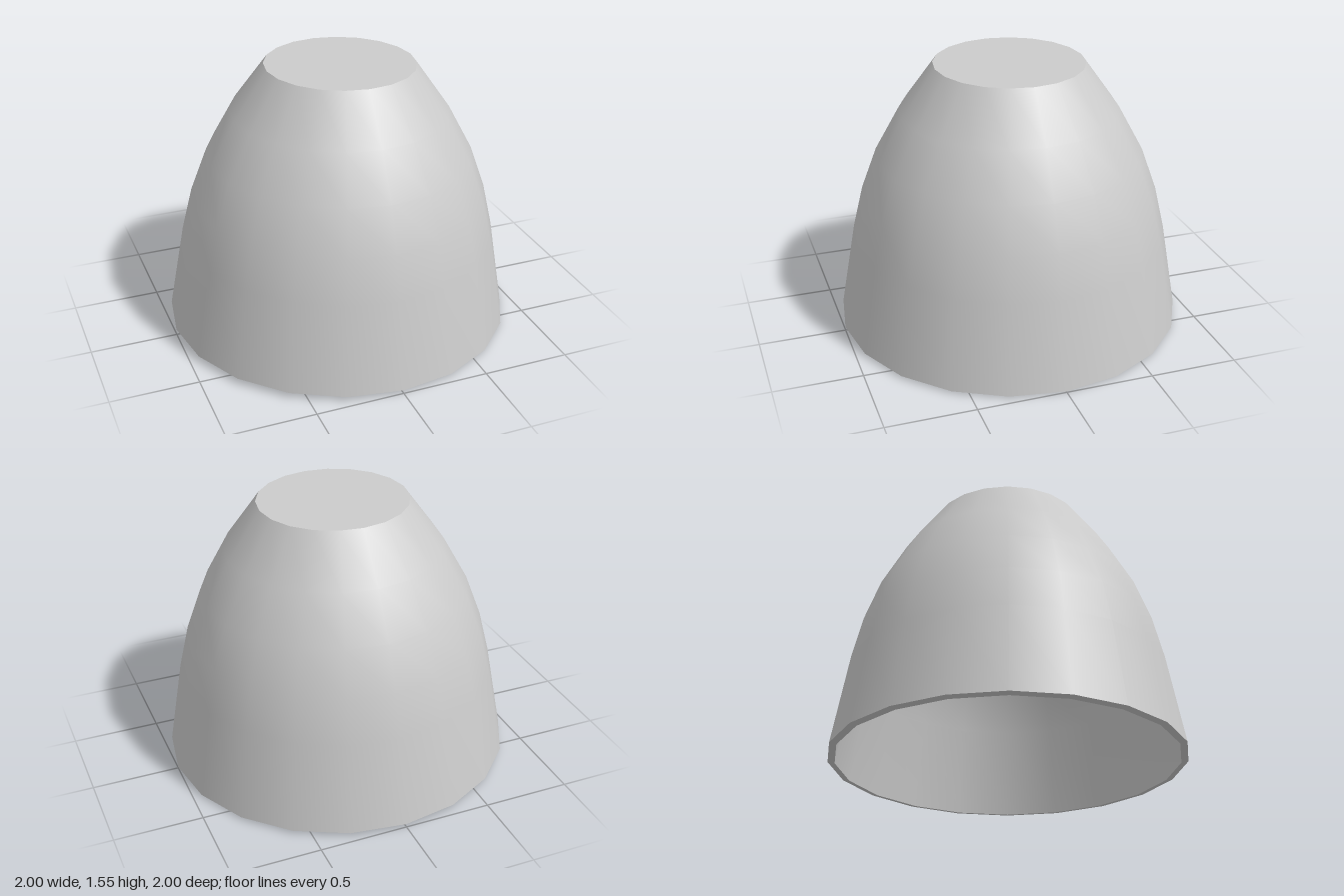
import * as THREE from 'three';

const SIDES = 20;
const WALL = 0.04;

export function createModel() {
  const model = new THREE.Group();
  model.name = 'bellShade';
  const material = new THREE.MeshStandardMaterial({ color: 0xcccccc });

  const add = (name, geometry) => {
    const mesh = new THREE.Mesh(geometry, material);
    mesh.name = name;
    shade.add(mesh);
    return mesh;
  };
  const lathe = (points) => new THREE.LatheGeometry(points, SIDES);

  // the whole shade leans very slightly towards +x
  const shade = new THREE.Group();
  shade.name = 'shade';
  shade.position.y = 0.021;
  shade.rotation.z = -0.0135;
  model.add(shade);

  // outer profile, from the open rim up to the flat top
  const outer = [
    [1, 0], [0.91, 0.51], [0.85, 0.76], [0.76, 1.005], [0.62, 1.26], [0.427, 1.527],
  ].map(([r, y]) => new THREE.Vector2(r, y));

  // inner profile: the outer one moved inwards along its normals
  const inner = outer.map((p, i) => {
    const a = outer[Math.max(i - 1, 0)];
    const b = outer[Math.min(i + 1, outer.length - 1)];
    const t = b.clone().sub(a).normalize();
    return new THREE.Vector2(p.x - t.y * WALL, p.y + t.x * WALL);
  });
  const top = outer[outer.length - 1];
  const ceiling = inner[inner.length - 1];
  ceiling.set(top.x - 0.02, top.y - WALL);

  add('outerWall', lathe(outer));
  add('innerWall', lathe([...inner].reverse()));
  add('rim', lathe([inner[0], outer[0]]));

  // flat closed top and the ceiling beneath it
  const cap = add('topCap', new THREE.CircleGeometry(top.x, SIDES));
  cap.rotation.x = -Math.PI / 2;
  cap.position.y = top.y;
  const under = add('innerCeiling', new THREE.CircleGeometry(ceiling.x, SIDES));
  under.rotation.x = Math.PI / 2;
  under.position.y = ceiling.y;

  return model;
}
